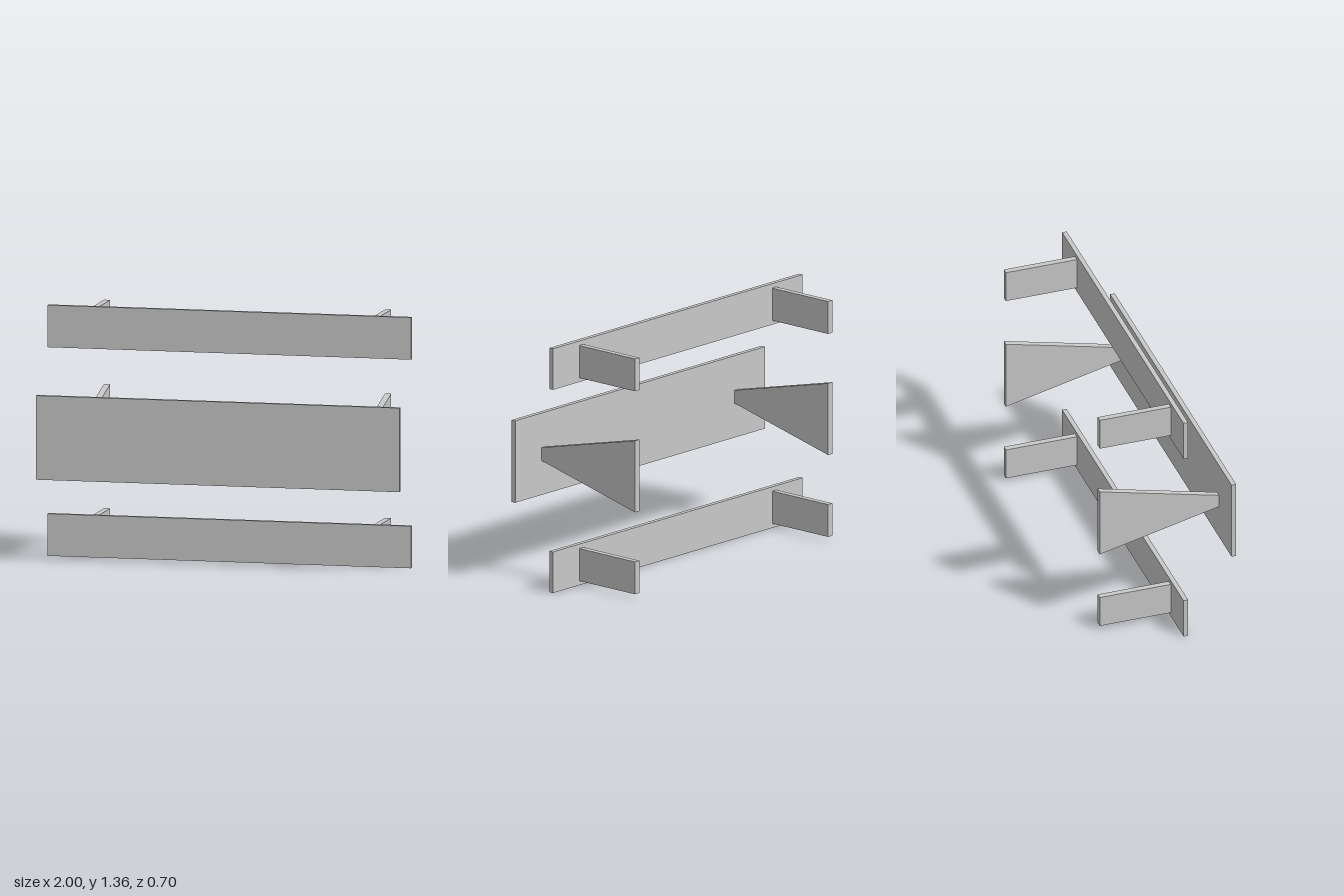
import * as THREE from 'three';

export function createModel() {
  const group = new THREE.Group();
  const grey = new THREE.MeshStandardMaterial({ color: 0xc8c8c8 });
  grey.name = 'light grey';
  const BACK = -0.35, BOARD = 0.026, THICK = 0.034, ARM_X = 0.773;

  // Long horizontal board whose front face sits at z = front
  function addBoard(name, y0, y1, front) {
    const mesh = new THREE.Mesh(new THREE.BoxGeometry(2, y1 - y0, BOARD), grey);
    mesh.position.set(0, (y0 + y1) / 2, front - BOARD / 2);
    mesh.name = name;
    group.add(mesh);
  }

  // Mirrored pair of flat brackets; outline runs along depth and height
  function addBrackets(name, front, [f0, f1], [b0, b1]) {
    const outline = new THREE.Shape([
      new THREE.Vector2(-front, f0), new THREE.Vector2(-BACK, b0),
      new THREE.Vector2(-BACK, b1), new THREE.Vector2(-front, f1),
    ]);
    const geo = new THREE.ExtrudeGeometry(outline, { depth: THICK, bevelEnabled: false });
    geo.translate(0, 0, -THICK / 2).rotateY(Math.PI / 2);
    for (const side of [-1, 1]) {
      const mesh = new THREE.Mesh(geo, grey);
      mesh.position.x = side * ARM_X;
      mesh.name = (side > 0 ? 'left' : 'right') + name;
      group.add(mesh);
    }
  }

  // Bottom rail
  addBoard('bottomBoard', 0, 0.228, 0.078);
  addBrackets('BottomBracket', 0.052, [0.024, 0.204], [0.024, 0.204]);

  // Wide middle board on tapered brackets
  addBoard('middleBoard', 0.451, 0.906, 0.35);
  addBrackets('MiddleBracket', 0.324, [0.642, 0.714], [0.479, 0.877]);

  // Top rail
  addBoard('topBoard', 1.129, 1.357, 0.078);
  addBrackets('TopBracket', 0.052, [1.152, 1.332], [1.152, 1.332]);

  return group;
}
